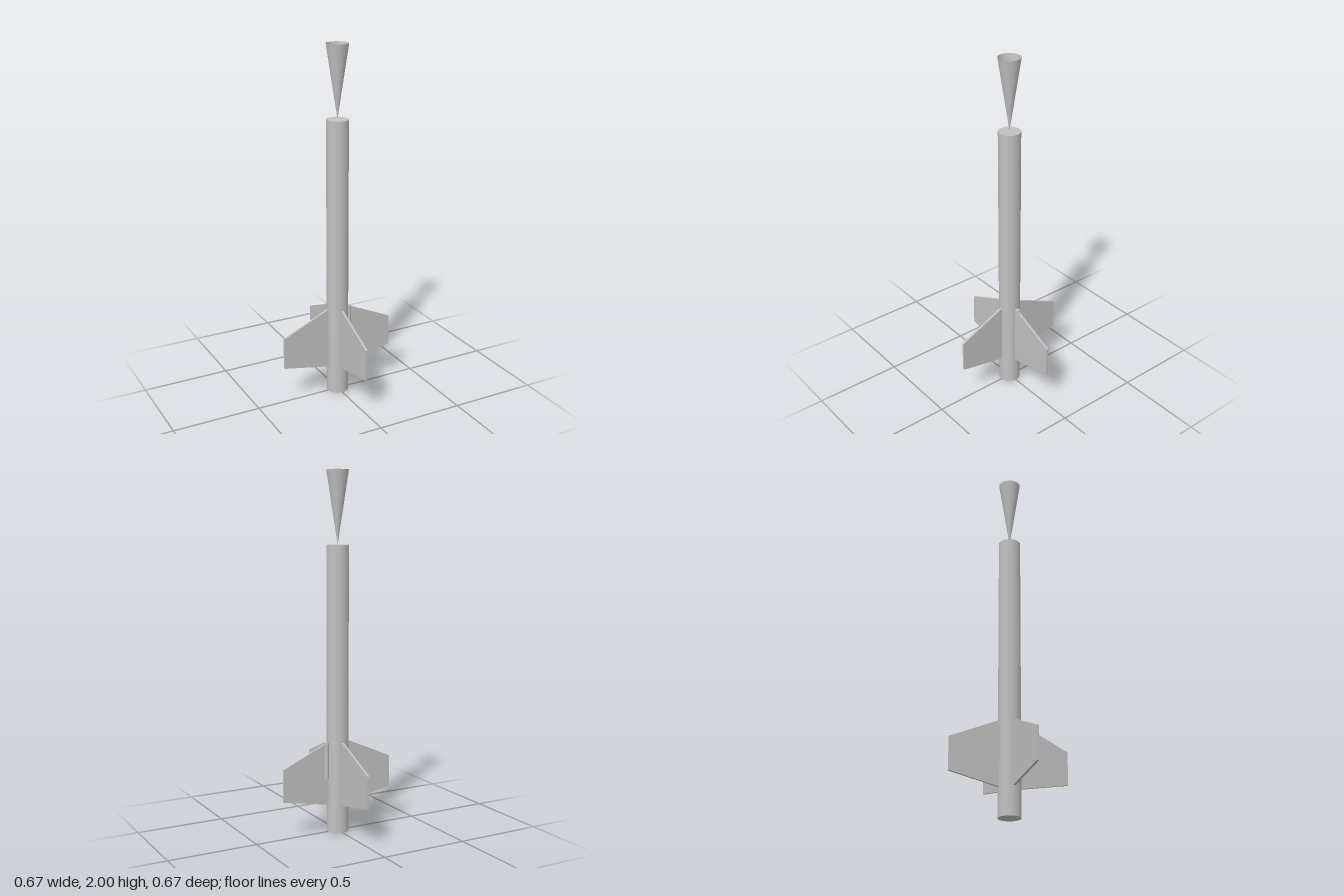
import * as THREE from 'three';

const BODY_RADIUS = 0.061;
const BODY_HEIGHT = 1.6;

export function createModel() {
  const grey = new THREE.MeshStandardMaterial({ color: 0xc0c0c0, side: THREE.DoubleSide });
  grey.name = 'light grey';

  const model = new THREE.Group();
  model.name = 'rocket';
  const add = (name, geometry, x = 0, y = 0, z = 0) => {
    const mesh = new THREE.Mesh(geometry, grey);
    mesh.name = name;
    mesh.position.set(x, y, z);
    model.add(mesh);
    return mesh;
  };

  // Closed body tube
  add('bodyTube', new THREE.CylinderGeometry(BODY_RADIUS, BODY_RADIUS, BODY_HEIGHT, 64), 0, BODY_HEIGHT / 2);

  // Hollow cone standing on its tip, open at the top
  add('noseCone', new THREE.CylinderGeometry(BODY_RADIUS, 0, 0.4, 64, 1, true), 0, BODY_HEIGHT + 0.2);

  // Four swept fins, rooted slightly inside the tube
  const thickness = 0.0125;
  const outline = new THREE.Shape([
    new THREE.Vector2(0.056, 0.156),
    new THREE.Vector2(0.337, 0.21),
    new THREE.Vector2(0.337, 0.391),
    new THREE.Vector2(0.056, 0.517),
  ]);
  const finGeometry = new THREE.ExtrudeGeometry(outline, { depth: thickness, bevelEnabled: false });
  finGeometry.translate(0, 0, -thickness / 2);
  ['leftFin', 'backFin', 'rightFin', 'frontFin'].forEach((name, i) => {
    add(name, finGeometry).rotation.y = (i * Math.PI) / 2;
  });

  // Launch lug beside the tube, on the left fin
  add('launchLug', new THREE.CylinderGeometry(0.0145, 0.0145, 0.204, 32), 0.0715, 0.412);

  return model;
}
